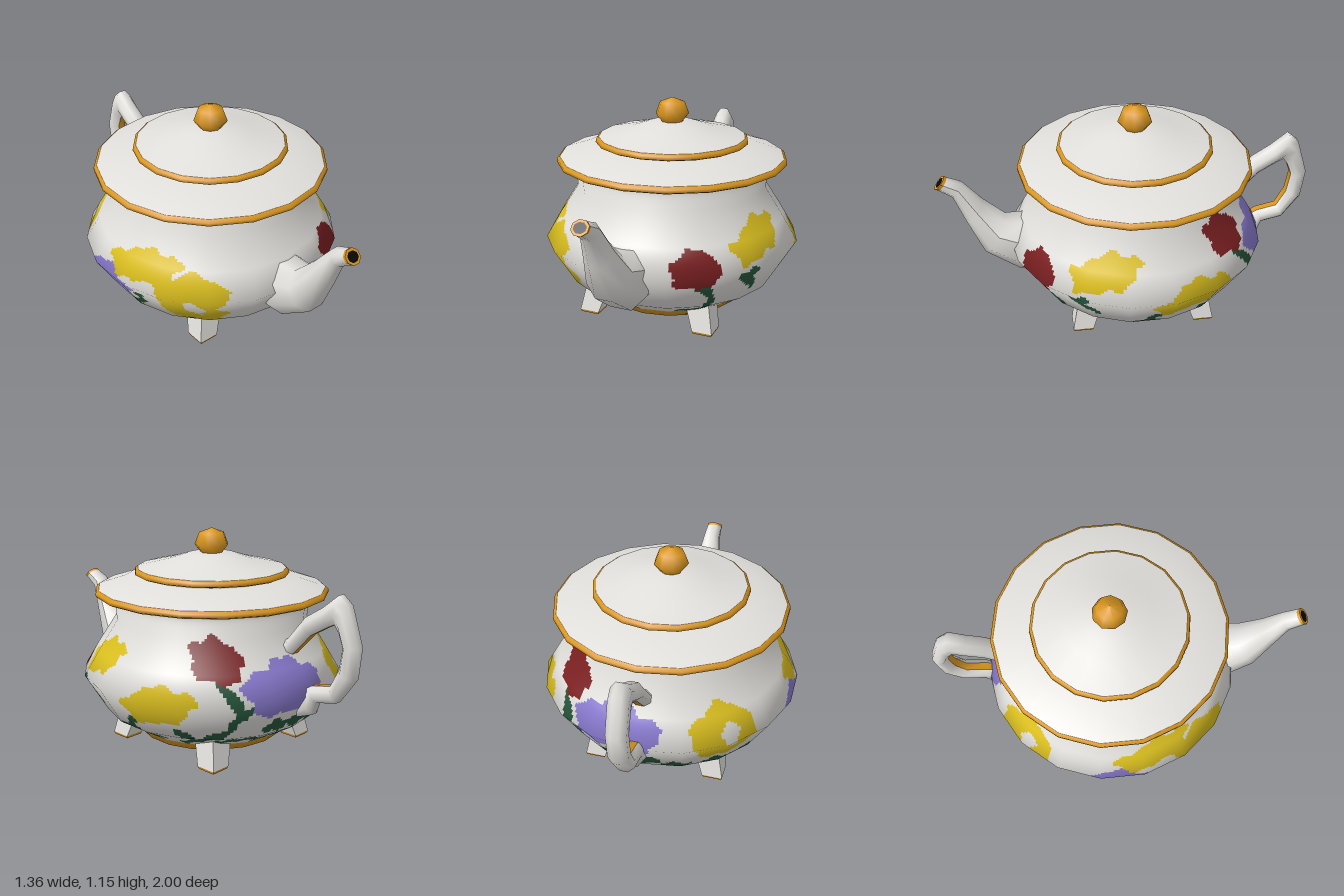
import * as THREE from 'three';

const mat = (name, color, side = THREE.FrontSide) => {
  const m = new THREE.MeshStandardMaterial({ color, side });
  m.name = name;
  return m;
};
const SIDES = 18, AXIS_Z = -0.05;

// Painted blobs: [degrees around from the front, height, half span in degrees, half height, slant]
const BLOSSOMS = {
  red: [[33, .43, 11, .095, 0], [136, .6, 13, .1, -.2]],
  yellow: [[68, .53, 17, .085, .5], [109, .37, 18, .1, .35], [219, .43, 15, .155, 0],
    [287, .51, 20, .075, .4], [312, .41, 16, .11, 0], [313, .28, 16, .085, -.3]],
  purple: [[169, .45, 21, .13, 0], [267, .35, 16, .09, 0]],
  green: [[166, .25, 7, .04, 0], [182, .26, 9, .045, .3], [198, .21, 8, .045, 0], [178, .16, 12, .03, 0],
    [218, .2, 7, .06, 0], [236, .2, 8, .04, .4], [246, .27, 5, .05, 0], [276, .18, 8, .03, .3]],
};
const HOLES = [[222, .44, 4, .06, 0], [313, .33, 5, .055, -.4]];
// Painted stems: [degrees, height] at both ends, then sideways bend in degrees
const STEMS = [
  [36, .34, 38, .14, 5], [38, .15, 26, .13, 0], [38, .15, 50, .12, 0],
  [54, .38, 61, .39, 0], [56, .37, 65, .28, 0], [95, .27, 75, .12, 0], [88, .21, 104, .16, 0],
  [138, .49, 140, .23, 7], [140, .23, 116, .13, 0], [126, .18, 118, .24, 0], [152, .39, 146, .33, 0],
  [138, .16, 158, .17, 0], [262, .15, 286, .34, 8], [290, .13, 312, .2, 0], [324, .19, 338, .12, 0],
];

function inBlob([a0, y0, ra, ry, slant], a, y) {
  const dx = (a - a0) / ra, dy = (y - y0) / ry - slant * dx;
  return Math.hypot(dx, dy) < 1 + .09 * Math.cos(5 * Math.atan2(dy, dx) - 1.5);
}

function onStem([a0, y0, a1, y1, bend], a, y) {
  for (let i = 0; i <= 16; i++) {
    const t = i / 16, ca = a0 + (a1 - a0) * t + bend * Math.sin(Math.PI * t), cy = y0 + (y1 - y0) * t;
    if (Math.hypot((a - ca) * .0103, y - cy) < .021) return true;
  }
  return false;
}

function paintAt(a, y) {
  // a slight waver gives the brushwork an uneven edge
  const wa = a + .8 * Math.sin(y * 70 + a * .3), wy = y + .008 * Math.sin(a * .6);
  if (HOLES.some(h => inBlob(h, wa, wy))) return 'white';
  for (const c in BLOSSOMS) if (BLOSSOMS[c].some(b => inBlob(b, wa, wy))) return c;
  const foliage = a > 160 && a < 265 && y < .13 + .03 * Math.sin(a * .2);
  return foliage || STEMS.some(s => onStem(s, wa, wy)) ? 'green' : 'white';
}

const lathePoints = pts => pts.map(([r, y]) => new THREE.Vector2(r, y));

// Lathed wall cut into small cells, each cell put in the group of its paint colour
function paintedWall(profile, colours, cu, cv) {
  const src = new THREE.LatheGeometry(lathePoints(profile), SIDES), n = profile.length;
  const cols = SIDES * cu, rows = (n - 1) * cv, pos = [], nor = [];
  const blend = (attr, i, j, s, t) => {
    const at = (p, q) => new THREE.Vector3().fromBufferAttribute(attr, p * n + q);
    return at(i, j).lerp(at(i + 1, j), s).lerp(at(i, j + 1).lerp(at(i + 1, j + 1), s), t);
  };
  for (let u = 0; u <= cols; u++) for (let v = 0; v <= rows; v++) {
    const i = Math.min(Math.floor(u / cu), SIDES - 1), j = Math.min(Math.floor(v / cv), n - 2);
    const s = u / cu - i, t = v / cv - j;
    pos.push(...blend(src.attributes.position, i, j, s, t));
    nor.push(...blend(src.attributes.normal, i, j, s, t).normalize());
  }
  const faces = Object.fromEntries(colours.map(c => [c, []]));
  for (let u = 0; u < cols; u++) for (let v = 0; v < rows; v++) {
    const a = u * (rows + 1) + v, b = a + rows + 1;
    const y = (pos[a * 3 + 1] + pos[a * 3 + 4]) / 2;
    faces[paintAt((u + .5) * 360 / cols, y)].push(a, b, a + 1, b + 1, a + 1, b);
  }
  const g = new THREE.BufferGeometry(), index = [];
  colours.forEach((c, k) => {
    g.addGroup(index.length, faces[c].length, k);
    for (const f of faces[c]) index.push(f);
  });
  g.setAttribute('position', new THREE.Float32BufferAttribute(pos, 3));
  g.setAttribute('normal', new THREE.Float32BufferAttribute(nor, 3));
  g.setIndex(index);
  return g;
}

// Skin over eight-sided rings [z, y of one edge, z, y of the opposite edge, half width]
function loft(rings, from = 0, to = 8) {
  const pos = [], index = [], m = to - from + 1;
  for (const [z1, y1, z2, y2, w] of rings) for (let i = from; i <= to; i++) {
    const a = (i + .5) * Math.PI / 4, s = Math.sin(a) / 2;
    pos.push(w * Math.cos(a), (y1 + y2) / 2 + (y1 - y2) * s, (z1 + z2) / 2 + (z1 - z2) * s);
  }
  for (let k = 0; k < rings.length - 1; k++) for (let i = 0; i < m - 1; i++) {
    const a = k * m + i, b = a + m;
    index.push(a, a + 1, b, a + 1, b + 1, b);
  }
  const g = new THREE.BufferGeometry();
  g.setAttribute('position', new THREE.Float32BufferAttribute(pos, 3));
  g.setIndex(index);
  g.computeVertexNormals();
  return g;
}

// Tapered block for a foot, from a lower square to an upper one
function footBlock(sx, sz, y0, c0, h0, y1, c1, h1) {
  const g = new THREE.BoxGeometry(2, 2, 2), p = g.attributes.position;
  for (let i = 0; i < p.count; i++) {
    const up = p.getY(i) > 0, c = up ? c1 : c0, h = up ? h1 : h0;
    p.setXYZ(i, sx * c + p.getX(i) * h, up ? y1 : y0, sz * c + p.getZ(i) * h);
  }
  g.computeVertexNormals();
  return g;
}

export function createModel() {
  const M = {
    white: mat('white glaze', 0xe2e0dc), gold: mat('gold trim', 0xd9961f), yellow: mat('yellow petals', 0xdcc020),
    red: mat('red petals', 0x7c2022), purple: mat('purple petals', 0x8a7bd0), green: mat('green leaves', 0x28573d),
    black: mat('dark opening', 0x080808, THREE.DoubleSide),
  };
  const root = new THREE.Group(), pot = new THREE.Group();
  root.name = 'teapot';
  pot.name = 'pot';
  pot.position.z = AXIS_Z;
  root.add(pot);
  const add = (parent, name, geometry, material) => {
    const m = new THREE.Mesh(geometry, material);
    m.name = name;
    parent.add(m);
  };
  const turn = (name, material, pts, sides = SIDES) =>
    add(pot, name, new THREE.LatheGeometry(lathePoints(pts), sides), material);

  // Body
  turn('bottom', M.white, [[0, .066], [.3, .066]]);
  turn('baseBand', M.gold, [[.3, .066], [.39, .068], [.42, .108]]);
  const colours = ['white', 'red', 'yellow', 'purple', 'green'];
  add(pot, 'body', paintedWall([[.42, .108], [.57, .2], [.69, .4], [.61, .535], [.51, .69], [.52, .79]], colours, 14, 14),
    colours.map(c => M[c]));

  // Rim, lid and knob
  turn('rimUnderside', M.white, [[.52, .79], [.56, .8], [.605, .813]]);
  turn('rimBand', M.gold, [[.6, .811], [.618, .82], [.618, .836], [.602, .849]]);
  turn('shoulder', M.white, [[.602, .849], [.46, .895], [.36, .9], [.355, .912], [.4, .915]]);
  turn('lidBand', M.gold, [[.395, .914], [.41, .921], [.407, .938], [.393, .948]]);
  turn('lid', M.white, [[.393, .948], [.225, .988], [.13, 1.018], [.05, 1.026]]);
  turn('knob', M.gold, [[.055, 1.02], [.09, 1.065], [.066, 1.128], [0, 1.153]], 9);

  // Feet with gold soles
  for (const sx of [-1, 1]) for (const sz of [-1, 1]) {
    add(pot, 'foot', footBlock(sx, sz, .014, .328, .055, .17, .285, .066), M.white);
    add(pot, 'footSole', footBlock(sx, sz, 0, .328, .05, .014, .328, .055), M.gold);
  }

  // Spout
  add(root, 'spout', loft([[.38, .5, .38, .17, .1], [.53, .53, .6, .2, .15], [.65, .53, .78, .33, .12],
    [.76, .64, .86, .53, .078], [.86, .765, .915, .685, .05], [.932, .795, .985, .735, .045]]), M.white);
  add(root, 'spoutTip', loft([[.932, .795, .985, .735, .045], [.944, .804, 1.002, .741, .046]]), M.gold);
  add(root, 'spoutLip', loft([[.944, .804, 1.002, .741, .046], [.953, .794, .993, .751, .034]]), M.gold);
  add(root, 'spoutOpening', loft([[.953, .794, .993, .751, .034], [.973, .7725, .973, .7725, 0]]), M.black);

  // Handle, with a gold strip along its inner side
  const handle = [[-.52, .55, -.52, .66, .05], [-.62, .58, -.585, .66, .055], [-.73, .7, -.69, .79, .055], [-.83, .76, -.79, .855, .055],
    [-.86, .775, -.88, .93, .055], [-.885, .74, -.935, .885, .055], [-.91, .68, -1, .69, .055], [-.895, .57, -.985, .53, .055],
    [-.85, .48, -.89, .395, .052], [-.74, .455, -.775, .37, .052], [-.68, .42, -.755, .3, .05], [-.6, .36, -.66, .265, .05]];
  add(root, 'handleInnerStrip', loft(handle, 1, 2), M.gold);
  add(root, 'handle', loft(handle, 2, 9), M.white);
  return root;
}
